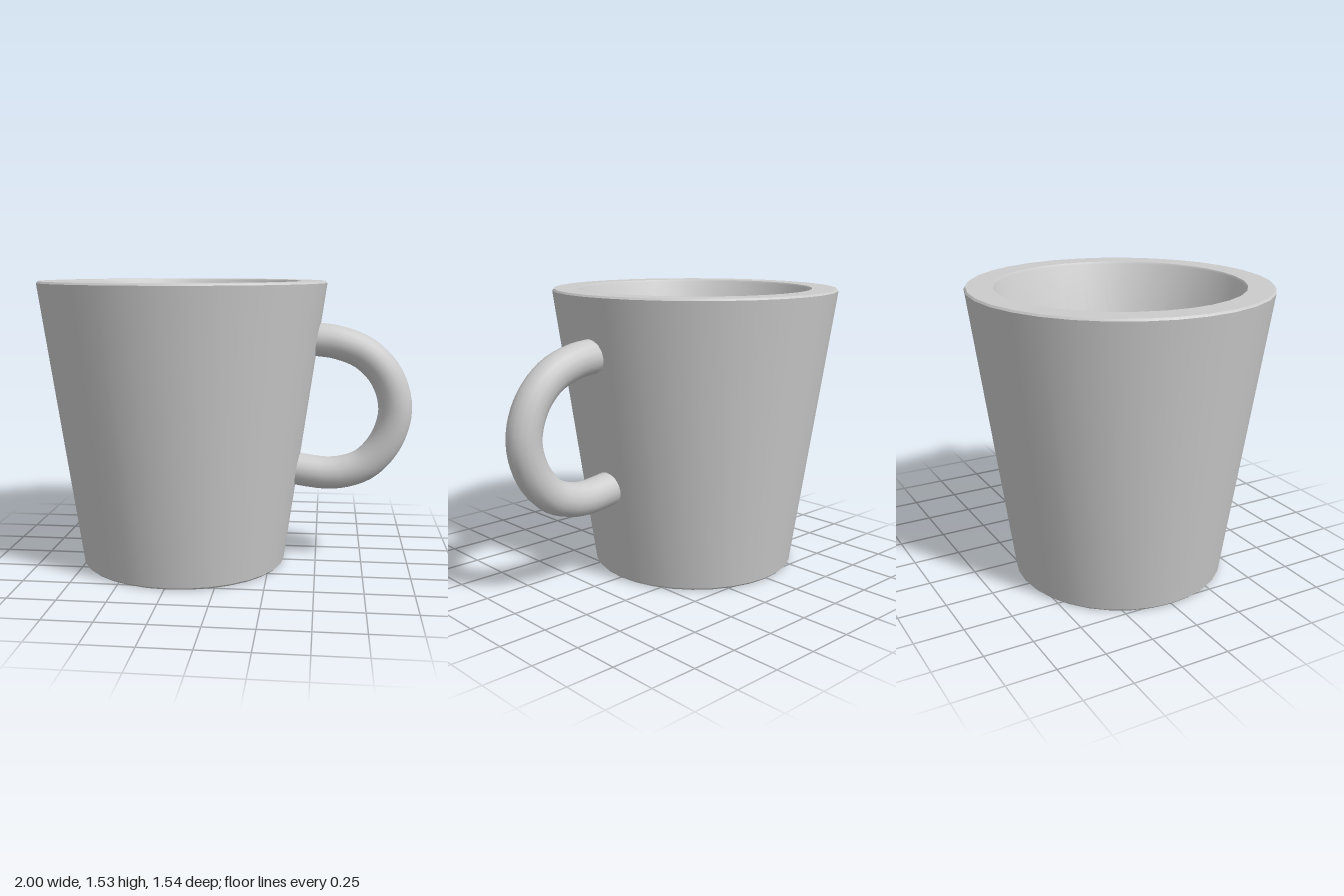
import * as THREE from 'three';
import { toCreasedNormals } from 'three/addons/utils/BufferGeometryUtils.js';

const CUP_X = -0.23, HEIGHT = 1.53, FLOOR = 0.22;

export function createModel() {
  const model = new THREE.Group();
  model.name = 'mug';
  const material = new THREE.MeshStandardMaterial({ color: 0xcccccc });

  // Tapered cup: underside, outer wall, bevelled rim, inner wall, floor
  const profile = [
    [0, 0], [0.545, 0], [0.555, 0.01],
    [0.77, HEIGHT - 0.01], [0.762, HEIGHT],
    [0.632, HEIGHT], [0.624, HEIGHT - 0.01],
    [0.445, FLOOR], [0, FLOOR],
  ].map(([r, y]) => new THREE.Vector2(r, y));
  const cup = new THREE.Mesh(
    toCreasedNormals(new THREE.LatheGeometry(profile, 32), 0.6), material);
  cup.name = 'cup';
  cup.position.x = CUP_X;
  model.add(cup);

  // Round handle, both ends sunk into the wall
  const path = new THREE.CatmullRomCurve3([
    [0.44, 1.227], [0.5, 1.222], [0.6, 1.208], [0.745, 1.15], [0.86, 1.03],
    [0.911, 0.86], [0.87, 0.69], [0.765, 0.56], [0.65, 0.511], [0.55, 0.5],
    [0.45, 0.51], [0.37, 0.522],
  ].map(([x, y]) => new THREE.Vector3(x, y, 0)));
  const handle = new THREE.Mesh(
    new THREE.TubeGeometry(path, 40, 0.089, 16), material);
  handle.name = 'handle';
  model.add(handle);

  return model;
}
